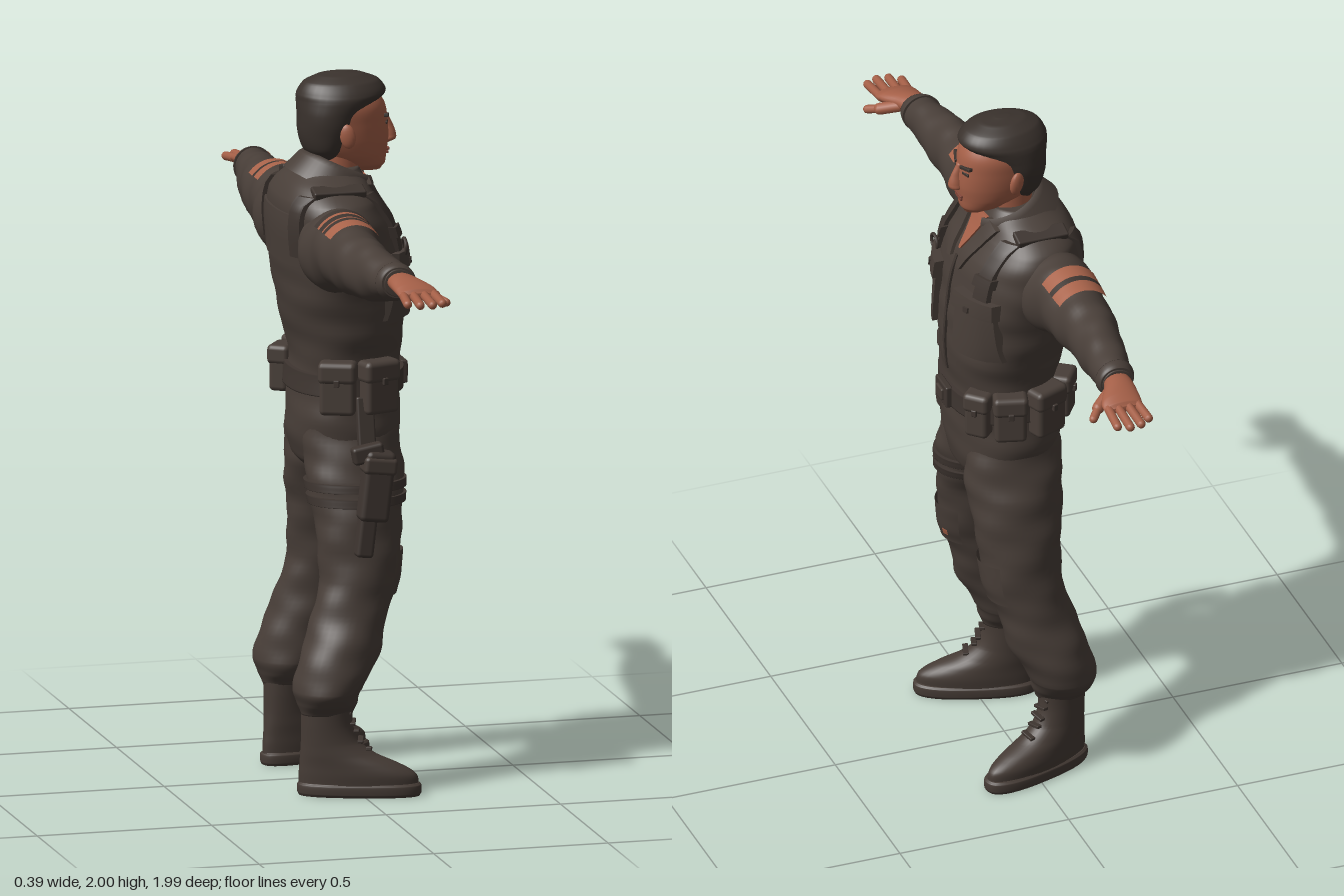
import * as THREE from 'three';
import { RoundedBoxGeometry } from 'three/addons/geometries/RoundedBoxGeometry.js';

const mat = (name, color) => new THREE.MeshStandardMaterial({ name, color, side: THREE.DoubleSide });

// Smoothly interpolate cross-sections [t, centreA, centreB, radiusA, radiusB, power]
function dense(secs, per = 7) {
  const out = [], P = (i, k) => secs[Math.max(0, Math.min(secs.length - 1, i))][k];
  for (let i = 0; i < secs.length - 1; i++)
    for (let s = 0; s < per + (i === secs.length - 2 ? 1 : 0); s++) {
      const f = s / per;
      out.push([0, 1, 2, 3, 4].map(k => {
        const a = P(i - 1, k), b = P(i, k), c = P(i + 1, k), d = P(i + 2, k);
        if (k === 0) return b + (c - b) * f;
        return b + 0.5 * f * (c - a + f * (2 * a - 5 * b + 4 * c - d + f * (3 * (b - c) + d - a)));
      }));
    }
  return out;
}

// Skin rounded cross-sections along 'y' or 'x'; an arc gives an open strip, wrinkle adds folds
function loft(secs, { axis = 'y', n = 2, wrinkle = 0, arc = null, segs = 36, per = 7 } = {}) {
  const rings = dense(secs, per), pos = [], idx = [], cols = arc ? segs + 1 : segs;
  const [a0, a1] = arc || [0, Math.PI * 2];
  const pw = v => Math.sign(v) * Math.abs(v) ** (2 / n);
  const put = (t, u, v) => axis === 'y' ? pos.push(u, t, v) : pos.push(t, v, u);
  for (const [t, u, v, ru, rv] of rings)
    for (let j = 0; j < cols; j++) {
      const a = a0 + (a1 - a0) * j / segs;
      const k = 1 + wrinkle * (Math.sin(3 * a + t * 38) + 0.7 * Math.sin(t * 75 - 2 * a));
      if (axis === 'y') put(t, u + ru * k * pw(Math.cos(a)), v + rv * k * pw(Math.sin(a)));
      else put(t, v + rv * k * pw(Math.cos(a)), u + ru * k * pw(Math.sin(a)));
    }
  for (let i = 0; i < rings.length - 1; i++)
    for (let j = 0; j < segs; j++) {
      const a = i * cols + j, b = i * cols + (j + 1) % cols;
      idx.push(a, a + cols, b, b, a + cols, b + cols);
    }
  if (!arc) for (const [i, flip] of [[0, false], [rings.length - 1, true]]) {
    const c = pos.length / 3, [t, u, v] = rings[i];
    if (axis === 'y') put(t, u, v); else put(t, v, u);
    for (let j = 0; j < cols; j++) {
      const a = i * cols + j, b = i * cols + (j + 1) % cols;
      flip ? idx.push(c, b, a) : idx.push(c, a, b);
    }
  }
  const g = new THREE.BufferGeometry();
  g.setAttribute('position', new THREE.Float32BufferAttribute(pos, 3));
  g.setIndex(idx);
  g.computeVertexNormals();
  return g;
}

const TORSO = [[0.87, 0, .01, .09, .09], [.92, 0, .01, .165, .135], [1, 0, .01, .19, .152], [1.1, 0, .012, .186, .15],
  [1.2, 0, .015, .185, .148], [1.3, 0, .01, .208, .164], [1.42, 0, -.005, .232, .172], [1.52, 0, -.015, .248, .17],
  [1.6, 0, -.03, .255, .158], [1.66, 0, -.045, .235, .135], [1.7, 0, -.045, .175, .115], [1.74, 0, -.035, .1, .085]];
const ARM = [[.15, 1.55, -.06, .1, .1], [.24, 1.547, -.067, .118, .108], [.3, 1.555, -.07, .11, .092], [.4, 1.56, -.07, .095, .085],
  [.5, 1.56, -.07, .086, .074], [.6, 1.56, -.06, .077, .065], [.7, 1.565, -.048, .06, .056], [.76, 1.57, -.04, .047, .05], [.78, 1.572, -.038, .036, .042]];
const LEG = [[.23, .205, -.09, .056, .072], [.26, .207, -.09, .083, .085], [.3, .21, -.088, .104, .096], [.4, .203, -.05, .101, .11],
  [.5, .186, -.02, .09, .106], [.6, .172, .01, .09, .11], [.75, .15, .015, .096, .122], [.87, .118, .015, .106, .137],
  [.95, .1, .012, .1, .138], [1.05, .09, .01, .09, .13]];
const TORSO_RINGS = dense(TORSO), POWER = 2.3;

function at(rings, t) {
  const i = Math.max(0, Math.min(rings.length - 2, rings.findIndex(r => r[0] > t) - 1));
  const f = (t - rings[i][0]) / (rings[i + 1][0] - rings[i][0]);
  return rings[i].map((v, k) => v + (rings[i + 1][k] - v) * f);
}
// Plate bent over the chest (side 1) or back (side -1)
function pad(w, h, d, x, y, { rot = 0, taper = 1, side = 1 } = {}) {
  const g = new THREE.BoxGeometry(w, h, d, 6, 8, 1), p = g.attributes.position;
  for (let i = 0; i < p.count; i++) p.setX(i, p.getX(i) * (1 + (taper - 1) * (0.5 - p.getY(i) / h)));
  g.rotateZ(rot).translate(x, y, 0);
  for (let i = 0; i < p.count; i++) {
    const [, , cz, rx, rz] = at(TORSO_RINGS, p.getY(i));
    const q = Math.max(0.02, 1 - Math.abs(p.getX(i) / rx) ** POWER);
    p.setZ(i, p.getZ(i) + cz + side * rz * q ** (1 / POWER));
  }
  g.computeVertexNormals();
  return g;
}
const grow = (secs, d) => secs.map(([t, u, v, a, b]) => [t, u, v, a + d, b + d]);
const slice = (secs, t0, t1, d) => grow([0, 1, 2, 3].map(i => at(dense(secs), t0 + (t1 - t0) * i / 3)), d);

export function createModel() {
  const cloth = mat('uniform cloth', 0x483e38), gear = mat('webbing', 0x3e3530), leather = mat('boot leather', 0x453b35);
  const hairMat = mat('hair', 0x3a322d), skin = mat('skin', 0xa45f47), lip = mat('lips', 0x85483a), patchMat = mat('patch', 0xa8634a);
  const person = new THREE.Group();
  person.name = 'standing figure';
  const add = (name, geo, material, parent = person) => {
    const m = new THREE.Mesh(geo, material);
    m.name = name;
    parent.add(m);
    return m;
  };
  const box = (name, material, [w, h, d], [x, y, z], [rx, ry, rz] = [0, 0, 0], parent = person) => {
    const m = add(name, new RoundedBoxGeometry(w, h, d, 2, Math.min(w, h, d) * 0.25), material, parent);
    m.position.set(x, y, z);
    m.rotation.set(rx, ry, rz);
    return m;
  };
  const rod = (name, material, a, b, r) => {
    const p = new THREE.Vector3(...a), q = new THREE.Vector3(...b), dir = q.clone().sub(p);
    const m = add(name, new THREE.CapsuleGeometry(r, dir.length(), 5, 12), material);
    m.position.copy(p).add(q).multiplyScalar(0.5);
    m.quaternion.setFromUnitVectors(new THREE.Vector3(0, 1, 0), dir.normalize());
  };
  // Mirrored cross-sections for the two sides
  const sideY = (secs, s) => secs.map(r => [r[0], r[1] * s, ...r.slice(2)]);
  const sideX = (secs, s) => s > 0 ? secs : secs.map(r => [-r[0], ...r.slice(1)]).reverse();

  // Jacket and open neckline
  add('torso', loft(TORSO, { n: POWER, wrinkle: 0.009, segs: 56 }), cloth);
  add('openNeck', pad(.09, .11, .012, 0, 1.655, { taper: .1 }), skin);
  add('zipper', pad(.012, .36, .012, 0, 1.4), gear);
  add('backYoke', pad(.36, .14, .014, 0, 1.56, { side: -1 }), cloth);
  const collar = add('collar', new THREE.LatheGeometry([[.088, -.03], [.088, .045], [.098, .055], [.112, .04], [.135, -.015]]
    .map(p => new THREE.Vector2(...p)), 40, .42, Math.PI * 2 - .84), cloth);
  collar.position.set(0, 1.695, -.022);
  collar.rotation.x = .42;
  for (const s of [1, -1]) {
    add('lapel', pad(.055, .15, .024, s * .058, 1.635, { rot: -s * .32, taper: .45 }), cloth);
    add('chestPocket', pad(.13, .18, .035, s * .14, 1.42), cloth);
    add('pocketFlap', pad(.138, .05, .056, s * .14, 1.495), cloth);
    add('pocketButton', pad(.016, .016, .066, s * .14, 1.485), gear);
    add('frontStrap', pad(.045, .17, .026, s * .16, 1.6), gear);
    add('strapBuckle', pad(.058, .03, .042, s * .16, 1.575), gear);
    add('backStrap', pad(.045, .17, .026, s * .16, 1.6, { side: -1 }), gear);
    box('shoulderStrap', gear, [.05, .022, .15], [s * .165, 1.695, -.045], [0, 0, -s * .25]);
  }
  const ring = add('strapRing', new THREE.TorusGeometry(.022, .005, 8, 20), gear);
  ring.position.set(-.16, 1.53, .145);

  // Sleeves, patches and hands
  for (const s of [1, -1]) {
    add('sleeve', loft(sideX(ARM, s), { axis: 'x', wrinkle: 0.022 }), cloth);
    add('cuff', loft(sideX(slice(ARM, .745, .775, .005), s), { axis: 'x' }), cloth);
    const bands = s > 0 ? [[.31, .36, patchMat], [.36, .38, gear], [.38, .43, patchMat]]
      : [[.29, .315, gear], [.315, .33, patchMat], [.33, .355, gear], [.355, .362, patchMat], [.362, .38, gear], [.38, .43, patchMat]];
    for (const [a, b, m] of bands)
      add('sleevePatch', loft(sideX(slice(ARM, a, b, .009), s), { axis: 'x', arc: [.22 * Math.PI, .78 * Math.PI] }), m);
    add('palm', loft(sideX([[.75, 1.575, -.036, .024, .033], [.8, 1.576, -.032, .026, .042], [.86, 1.568, -.016, .022, .056],
      [.89, 1.562, -.013, .017, .056], [.9, 1.56, -.013, .008, .048]], s), { axis: 'x' }), skin);
    [[-.054, .955, -.062], [-.027, .977, -.032], [.002, .982, .002], [.029, .967, .034]].forEach(([z, tip, tz]) =>
      rod('finger', skin, [s * .87, 1.563, z], [s * tip, 1.552, tz], .0125));
    rod('thumb', skin, [s * .81, 1.565, .0], [s * .845, 1.545, .045], .017);
    rod('thumbTip', skin, [s * .845, 1.545, .045], [s * .875, 1.532, .07], .012);
  }

  // Trousers and boots
  for (const s of [1, -1]) {
    add('trouserLeg', loft(sideY(LEG, s), { wrinkle: 0.018 }), cloth);
    add('kneePatch', loft(sideY(slice(LEG, .56, .68, .008), s), { arc: [.25 * Math.PI, .75 * Math.PI] }), cloth);
    const boot = new THREE.Group();
    boot.name = 'boot';
    boot.position.set(s * .207, 0, -.09);
    boot.rotation.y = s * .31;
    person.add(boot);
    add('bootSole', loft([[0, 0, .09, .054, .168], [.008, 0, .09, .058, .172], [.03, 0, .09, .058, .172], [.036, 0, .09, .052, .165]], { n: 2.5 }), leather, boot);
    add('bootUpper', loft([[.03, 0, .088, .054, .166], [.06, 0, .085, .056, .163], [.085, 0, .066, .055, .142], [.115, 0, .032, .053, .106],
      [.15, 0, .01, .051, .082], [.2, 0, 0, .052, .072], [.27, 0, 0, .055, .072]]), leather, boot);
    for (let i = 0; i < 5; i++)
      box('lace', gear, [.045, .009, .016], [0, .13 + i * .025, .117 - i * .011 - (i === 0 ? 0 : .012)], [0, 0, i % 2 ? .15 : -.15], boot);
  }
  add('kneeTear', loft(sideY(slice(LEG, .585, .605, .011), -1), { arc: [.36 * Math.PI, .42 * Math.PI], segs: 4 }), patchMat);

  // Belt, buckle and pouches
  add('belt', loft(slice(TORSO, 1.115, 1.175, .012), { n: POWER }), gear);
  box('buckle', gear, [.085, .065, .02], [0, 1.145, .178]);
  box('bucklePlate', leather, [.045, .036, .02], [0, 1.145, .185]);
  for (const [deg, w, h] of [[-112, .1, .15], [-72, .105, .15], [45, .07, .135], [74, .09, .14], [112, .1, .145], [145, .08, .13]]) {
    const a = deg * Math.PI / 180, pouch = new THREE.Group();
    pouch.name = 'beltPouch';
    pouch.position.set(Math.sin(a) * .205, 1.145, .01 + Math.cos(a) * .17);
    pouch.rotation.y = a;
    person.add(pouch);
    box('pouchBody', cloth, [w, h, .055], [0, 0, 0], [0, 0, 0], pouch);
    box('pouchFlap', cloth, [w + .008, h * .42, .065], [0, h * .3, 0], [0, 0, 0], pouch);
    box('pouchSnap', gear, [.016, .02, .01], [0, h * .13, .034], [0, 0, 0], pouch);
  }

  // Thigh holster on the right leg
  const holster = new THREE.Group();
  holster.name = 'holster';
  holster.position.set(-.268, .88, .035);
  holster.rotation.x = .12;
  person.add(holster);
  box('holsterBody', gear, [.062, .2, .085], [0, 0, 0], [0, 0, 0], holster);
  box('holsterMuzzle', gear, [.045, .13, .05], [.01, -.14, -.01], [0, 0, 0], holster);
  box('holsterFlap', leather, [.072, .05, .095], [0, .06, 0], [0, 0, 0], holster);
  box('pistolGrip', gear, [.04, .05, .09], [0, .09, -.035], [-.3, 0, 0], holster);
  box('hangStrap', gear, [.025, .18, .05], [-.215, 1.03, .02], [0, 0, -.2]);
  for (const y of [.81, .85])
    add('thighStrap', loft(sideY(slice(LEG, y, y + .024, .008), -1)), gear);

  // Head, face and hair
  add('neck', loft([[1.64, 0, -.01, .07, .07], [1.7, 0, -.008, .069, .07], [1.8, 0, -.005, .066, .072]]), skin);
  add('head', loft([[1.72, 0, .085, .028, .034], [1.738, 0, .066, .054, .065], [1.77, 0, .035, .075, .1], [1.81, 0, .02, .087, .12],
    [1.86, 0, .012, .094, .125], [1.91, 0, .008, .095, .12], [1.96, 0, .005, .072, .09], [1.98, 0, .005, .04, .05]], { n: 2.15 }), skin);
  add('hair', loft([[1.75, 0, -.04, .05, .035], [1.79, 0, -.04, .082, .062], [1.84, 0, -.035, .098, .08], [1.89, 0, -.02, .104, .098],
    [1.925, 0, -.002, .104, .117], [1.945, 0, .008, .098, .126], [1.975, 0, .008, .078, .106], [1.993, 0, .005, .045, .065],
    [2, 0, .005, .01, .02]], { wrinkle: 0.008 }), hairMat);
  add('nose', loft([[1.792, 0, .138, .008, .008], [1.8, 0, .142, .019, .02], [1.812, 0, .143, .018, .022], [1.84, 0, .139, .012, .017],
    [1.875, 0, .132, .009, .008]], { segs: 16 }), skin);
  box('upperLip', lip, [.05, .008, .012], [0, 1.777, .134]);
  box('lowerLip', lip, [.042, .009, .012], [0, 1.767, .132]);
  for (const s of [1, -1]) {
    box('eyebrow', hairMat, [.045, .01, .014], [s * .037, 1.876, .127], [0, s * .3, s * .16]);
    box('eye', hairMat, [.027, .009, .008], [s * .036, 1.857, .127], [0, s * .3, 0]);
    const ear = add('ear', new THREE.SphereGeometry(1, 16, 12), skin);
    ear.scale.set(.012, .035, .022);
    ear.position.set(s * .099, 1.835, .0);
    ear.rotation.set(-.15, s * .3, 0);
  }

  // Turn the figure to face +x
  person.rotation.y = Math.PI / 2;
  const model = new THREE.Group();
  model.name = 'uniformed figure';
  model.add(person);
  return model;
}
